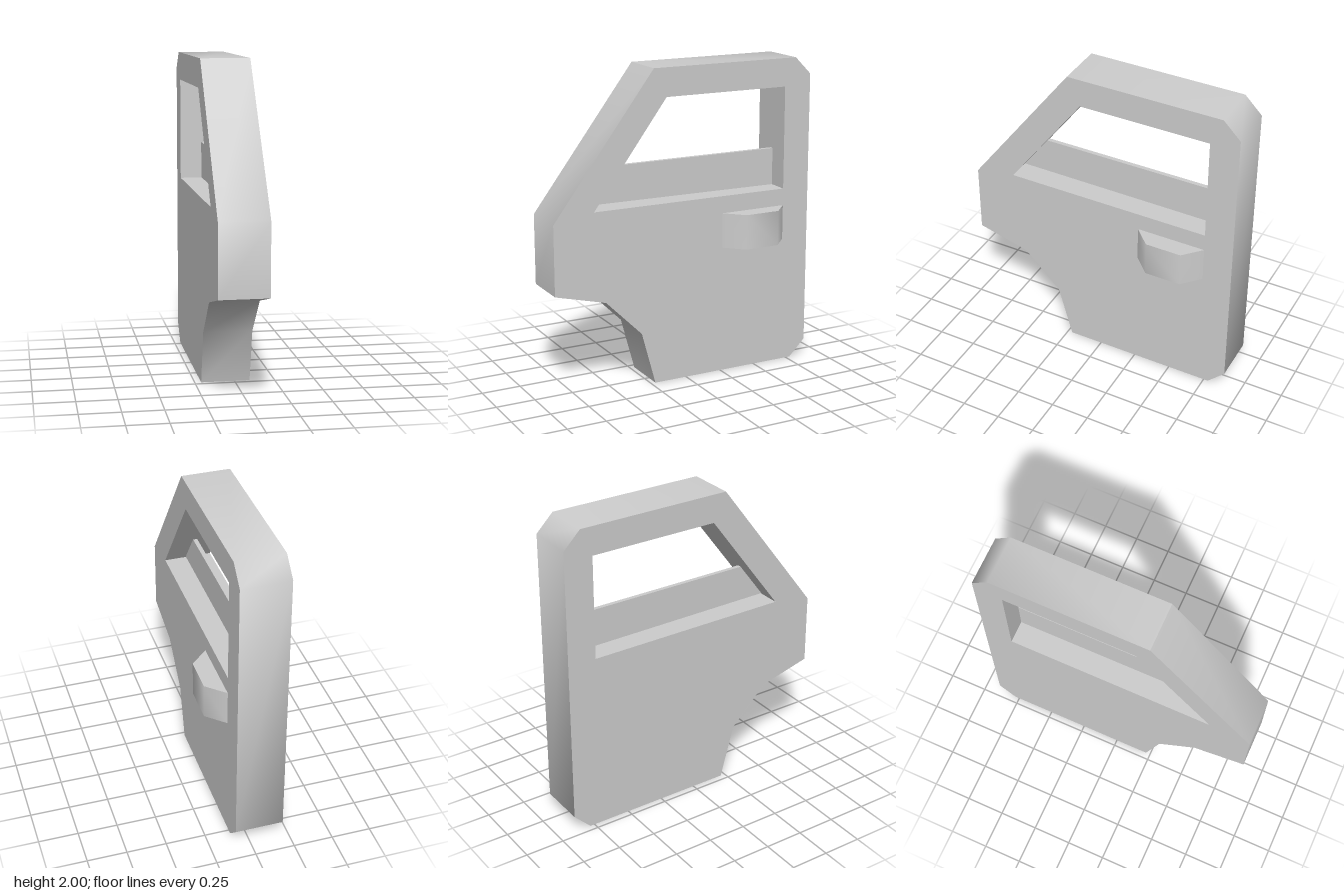
import * as THREE from 'three';
import { toCreasedNormals } from 'three/addons/utils/BufferGeometryUtils.js';

const INNER = -0.21, OUTER = 0.095; // inner and outer faces of the door in x

// Side profile given as [z, y] points, extruded across x from x0 to x1
function sidePanel(outline, x0, x1, hole) {
  const points = (list) => list.map(([z, y]) => new THREE.Vector2(-z, y));
  const shape = new THREE.Shape(points(outline));
  if (hole) shape.holes.push(new THREE.Path(points(hole)));
  const geometry = new THREE.ExtrudeGeometry(shape, { depth: x1 - x0, bevelEnabled: false });
  geometry.rotateY(Math.PI / 2);
  geometry.translate(x0, 0, 0);
  return geometry;
}

export function createModel() {
  const group = new THREE.Group();
  const grey = new THREE.MeshStandardMaterial({ color: 0xcccccc });
  grey.name = 'grey';

  const add = (name, geometry) => {
    const mesh = new THREE.Mesh(toCreasedNormals(geometry, THREE.MathUtils.degToRad(50)), grey);
    mesh.name = name;
    group.add(mesh);
  };

  // Door body with wheel-arch cutout, chamfered rear corners and window opening
  const outline = [
    [0.22, 0], [-0.78, 0], [-0.89, 0.11], [-0.89, 1.89], [-0.78, 2],
    [0.22, 2], [0.89, 1.115], [0.89, 0.67], [0.555, 0.583], [0.313, 0.342],
  ];
  const opening = [[0.625, 1.163], [0.135, 1.82], [-0.705, 1.82], [-0.705, 1.16]];
  add('doorBody', sidePanel(outline, INNER, OUTER, opening));

  // Half-lowered window pane in the middle of the opening
  const pane = [[0.62, 1.17], [0.448, 1.4], [-0.705, 1.4], [-0.705, 1.16]];
  add('windowPane', sidePanel(pane, -0.07, -0.043));

  // Handle: trapezoid in plan, extruded upwards
  const plan = [[OUTER, -0.705], [0.208, -0.6], [0.208, -0.37], [OUTER, -0.26]];
  const handle = new THREE.ExtrudeGeometry(
    new THREE.Shape(plan.map(([x, z]) => new THREE.Vector2(x, -z))),
    { depth: 0.225, bevelEnabled: false },
  );
  handle.rotateX(-Math.PI / 2);
  handle.translate(0, 0.825, 0);
  add('handle', handle);

  return group;
}
